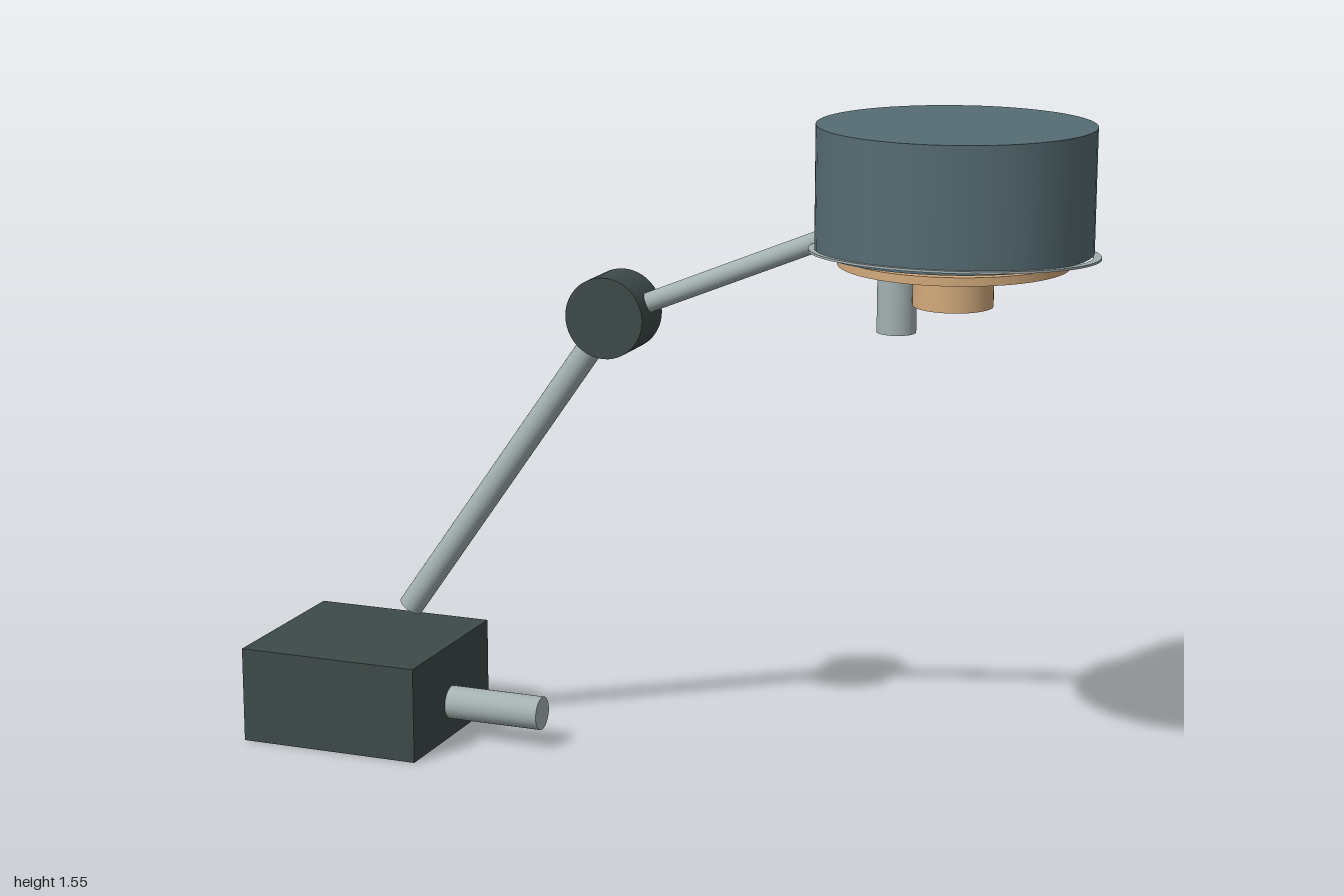
import * as THREE from 'three';

const material = (name, color) => {
  const m = new THREE.MeshStandardMaterial({ color });
  m.name = name;
  return m;
};

export function createModel() {
  const lamp = new THREE.Group();
  lamp.name = 'lamp';
  const dark = material('charcoal', 0x3d4a48);
  const metal = material('brushed metal', 0xa3b1b0);
  const teal = material('slate teal', 0x566c73);
  const tan = material('warm tan', 0xd2aa7c);

  const add = (name, geometry, mat, x = 0, y = 0, z = 0) => {
    const mesh = new THREE.Mesh(geometry, mat);
    mesh.name = name;
    mesh.position.set(x, y, z);
    lamp.add(mesh);
    return mesh;
  };

  // Round bar between two points
  const rod = (name, from, to, radius, mat, sides = 32) => {
    const a = new THREE.Vector3(...from);
    const b = new THREE.Vector3(...to);
    const dir = b.clone().sub(a);
    const mesh = add(name, new THREE.CylinderGeometry(radius, radius, dir.length(), sides), mat);
    mesh.position.copy(a).add(b).multiplyScalar(0.5);
    mesh.quaternion.setFromUnitVectors(new THREE.Vector3(0, 1, 0), dir.normalize());
    return mesh;
  };

  // Clamp block with its screw
  add('base', new THREE.BoxGeometry(0.45, 0.23, 0.425), dark, -0.775, 0.115, 0);
  rod('clampScrew', [-0.56, 0.085, 0], [-0.313, 0.085, 0], 0.04, metal);

  // Jointed arm
  rod('lowerArm', [-0.653, 0.316, 0], [-0.16, 1.02, 0], 0.03, metal);
  rod('elbow', [-0.125, 1.07, -0.062], [-0.125, 1.07, 0.062], 0.094, dark, 48);
  rod('upperArm', [-0.045, 1.1, 0], [0.4, 1.285, 0], 0.023, metal);

  // Lamp head, stacked along one vertical axis
  const headX = 0.678;
  rod('shade', [headX, 1.273, 0], [headX, 1.547, 0], 0.305, teal, 64);
  rod('diffuser', [headX, 1.24, 0], [headX, 1.259, 0], 0.255, tan, 64);
  rod('hub', [headX, 1.148, 0], [headX, 1.245, 0], 0.089, tan, 48);
  rod('switchPin', [0.55, 1.079, 0], [0.55, 1.29, 0], 0.044, metal);

  // Thin rim, slightly tipped towards the back
  const outline = new THREE.Shape().absarc(0, 0, 0.32, 0, Math.PI * 2);
  outline.holes.push(new THREE.Path().absarc(0, 0, 0.302, 0, Math.PI * 2, true));
  const rimGeometry = new THREE.ExtrudeGeometry(outline, {
    depth: 0.005, bevelEnabled: false, curveSegments: 64,
  });
  const rim = add('rim', rimGeometry, metal, headX, 1.262, -0.003);
  rim.rotation.x = -Math.PI / 2 - 0.057;

  return lamp;
}
